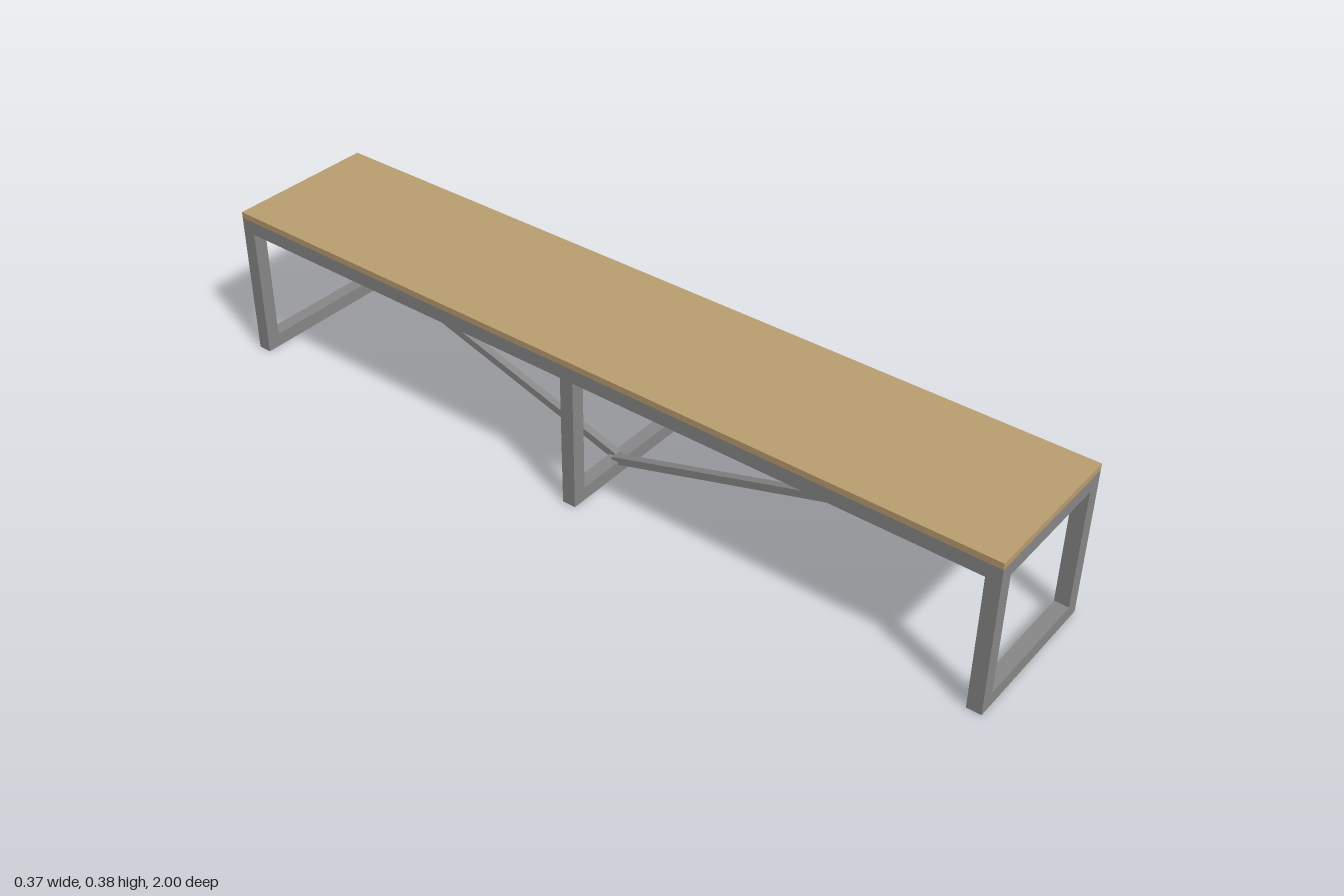
import * as THREE from 'three';

const W = 0.373, L = 2, H = 0.375, T = 0.0335, PLANK = 0.015;

export function createModel() {
  const group = new THREE.Group();
  group.name = 'bench';
  const wood = new THREE.MeshStandardMaterial({ color: 0xbb9e70 });
  wood.name = 'wood';
  const steel = new THREE.MeshStandardMaterial({ color: 0x888888 });
  steel.name = 'steel';

  function box(name, material, size, position) {
    const mesh = new THREE.Mesh(new THREE.BoxGeometry(...size), material);
    mesh.name = name;
    mesh.position.set(...position);
    group.add(mesh);
    return mesh;
  }

  // Seat board
  box('seatBoard', wood, [W, PLANK, L], [0, H - PLANK / 2, 0]);

  // Square tube leg frames: a rectangle with a rectangular opening
  const frameTop = H - PLANK;
  function legFrame(name, z) {
    const shape = new THREE.Shape();
    shape.moveTo(-W / 2, 0).lineTo(W / 2, 0).lineTo(W / 2, frameTop).lineTo(-W / 2, frameTop).closePath();
    const hole = new THREE.Path();
    const x = W / 2 - T, y = frameTop - T;
    hole.moveTo(-x, T).lineTo(-x, y).lineTo(x, y).lineTo(x, T).closePath();
    shape.holes.push(hole);
    const mesh = new THREE.Mesh(new THREE.ExtrudeGeometry(shape, { depth: T, bevelEnabled: false }), steel);
    mesh.name = name;
    mesh.position.z = z - T / 2;
    group.add(mesh);
  }
  const end = L / 2 - T / 2, middle = -0.018;
  legFrame('frontLegFrame', end);
  legFrame('middleLegFrame', middle);
  legFrame('backLegFrame', -end);

  // Long rails between the frames
  const spans = [[-end + T / 2, middle - T / 2], [middle + T / 2, end - T / 2]];
  for (const side of [-1, 1]) {
    for (const [a, b] of spans) {
      box(side > 0 ? 'leftRail' : 'rightRail', steel, [T, T, b - a],
        [side * (W - T) / 2, frameTop - T / 2, (a + b) / 2]);
    }
  }

  // Diagonal braces rising from the foot of the middle frame, set side by side
  function brace(name, x, zEnd) {
    const from = new THREE.Vector3(x, 0.031, middle);
    const to = new THREE.Vector3(x, 0.031 + 0.302 * Math.abs(zEnd - middle), zEnd);
    const mid = from.clone().add(to).multiplyScalar(0.5);
    const mesh = box(name, steel, [0.018, 0.018, from.distanceTo(to)], mid.toArray());
    mesh.lookAt(to);
  }
  brace('frontBrace', -0.029, 0.98);
  brace('backBrace', -0.016, -0.998);

  return group;
}
